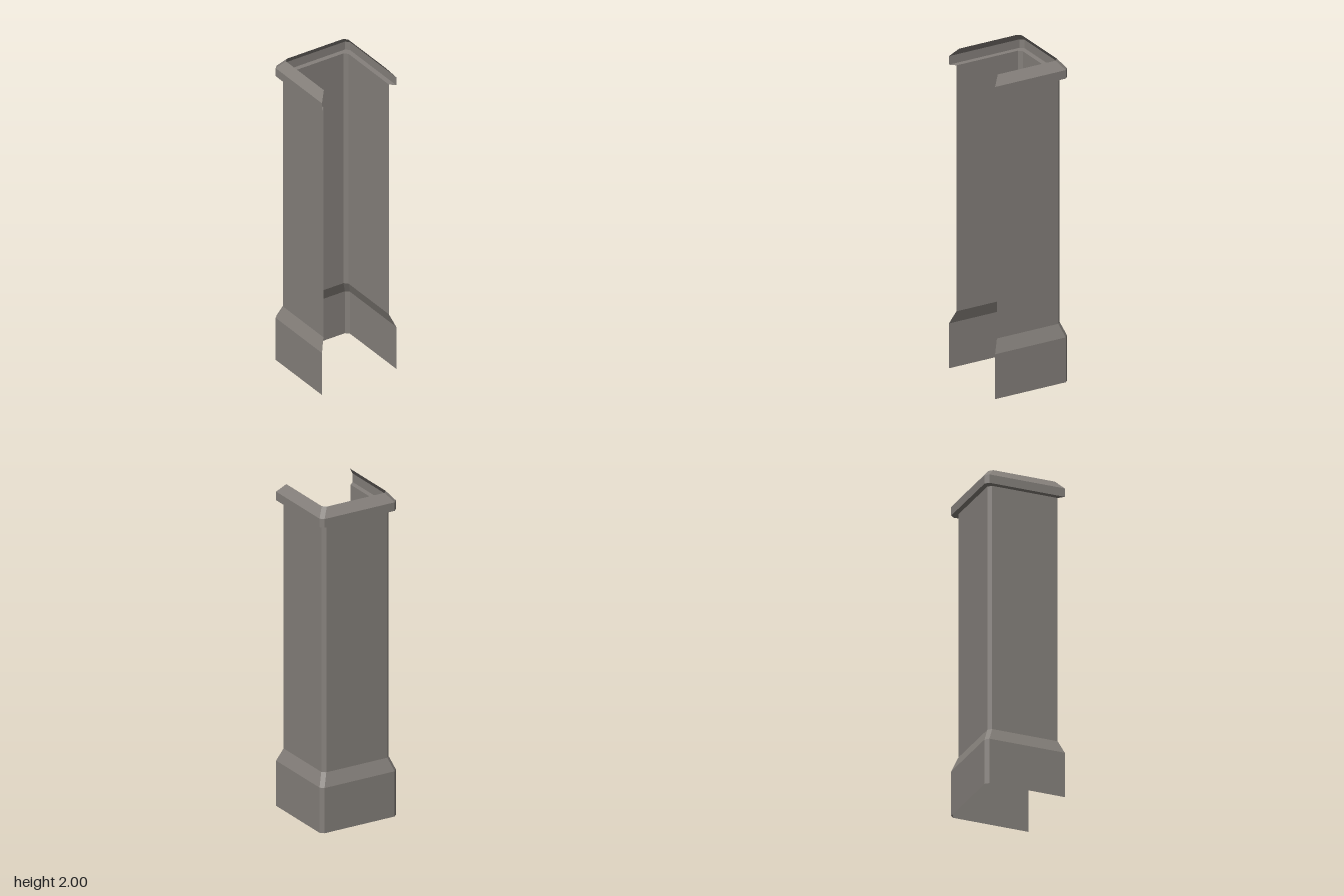
import * as THREE from 'three';

const CHAMFER = 0.021;

// Open three-sided section with chamfered back corners, at height y.
// Runs from the left front edge, round the back, to the right front edge.
function section(y, x, z) {
  const left = [[x, y, z], [x, y, -z + CHAMFER], [x - CHAMFER, y, -z]];
  const right = left.map(([px, py, pz]) => [-px, py, pz]).reverse();
  return [...left, ...right];
}

// Joins a stack of sections [height, half width, half depth] into a thin shell.
function shell(name, levels, material) {
  const rings = levels.map((level) => section(...level));
  const positions = [];
  for (let i = 0; i < rings.length - 1; i++) {
    const low = rings[i], high = rings[i + 1];
    for (let j = 0; j < low.length - 1; j++) {
      positions.push(...low[j], ...low[j + 1], ...high[j + 1]);
      positions.push(...low[j], ...high[j + 1], ...high[j]);
    }
  }
  const geometry = new THREE.BufferGeometry();
  geometry.setAttribute('position', new THREE.Float32BufferAttribute(positions, 3));
  geometry.computeVertexNormals();
  const mesh = new THREE.Mesh(geometry, material);
  mesh.name = name;
  return mesh;
}

export function createModel() {
  const stone = new THREE.MeshStandardMaterial({ color: 0x85807b });
  stone.name = 'warm grey stone';
  stone.side = THREE.DoubleSide;
  stone.flatShading = true;

  const group = new THREE.Group();
  group.name = 'openPillar';

  // Plinth with a sloped shoulder
  group.add(shell('base', [[0, 0.257, 0.246], [0.28, 0.257, 0.246], [0.36, 0.226, 0.215]], stone));
  // Tall plain walls
  group.add(shell('shaft', [[0.36, 0.226, 0.215], [1.894, 0.226, 0.215]], stone));
  // Overhanging cap: underside, vertical lip and inward slope
  group.add(shell('cap', [
    [1.894, 0.226, 0.215], [1.894, 0.257, 0.246], [1.947, 0.257, 0.246], [2, 0.215, 0.203],
  ], stone));

  return group;
}
